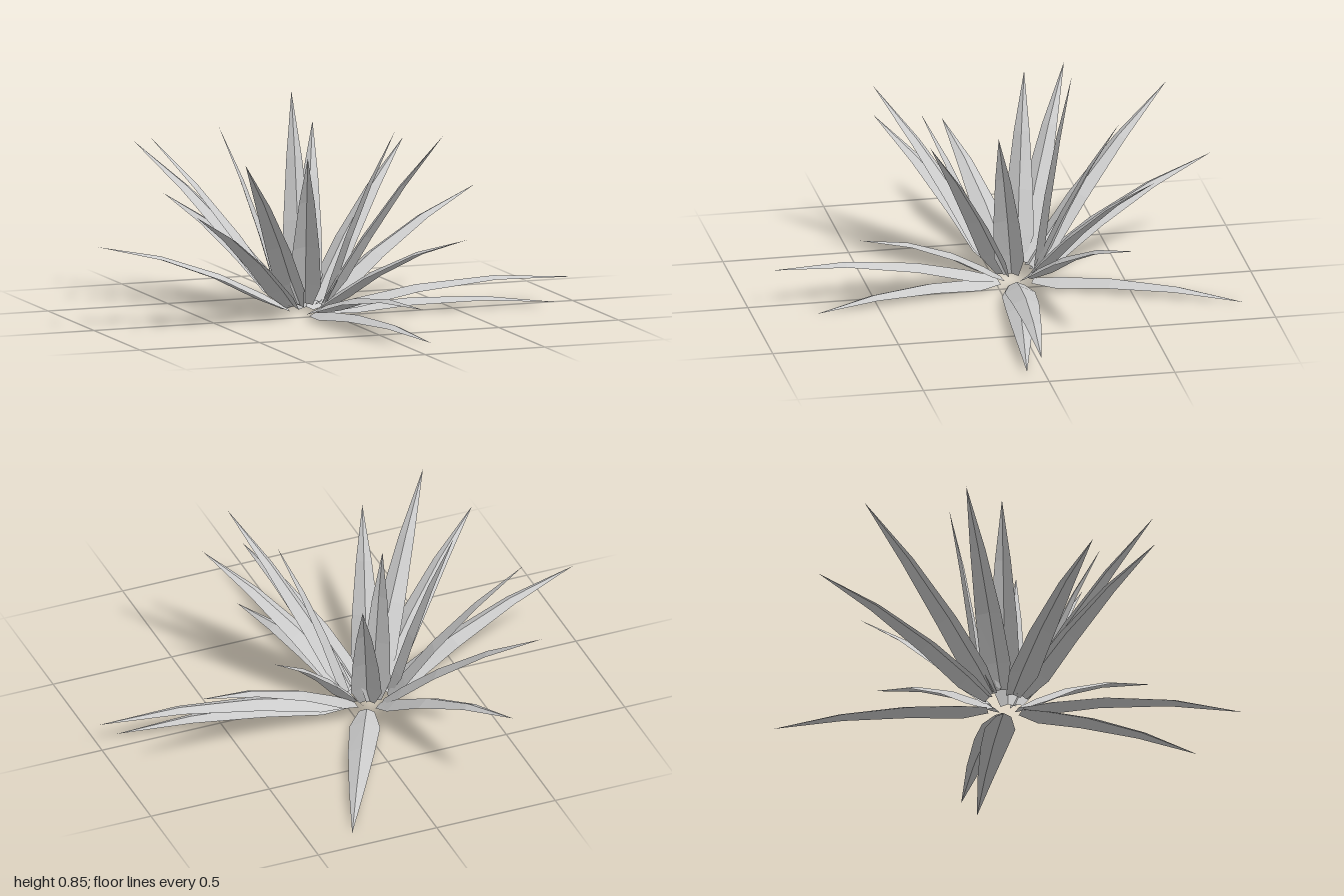
import * as THREE from 'three';

// Rosette centre and the tip of every leaf (x, y, z)
const CENTRE = new THREE.Vector3(-0.09, 0, -0.08);
const TIPS = [
  [-0.36, 0.37, -0.91], [-0.54, 0.61, -0.77], [-0.62, 0.69, -0.38], [-0.41, 0.75, -0.18],
  [-1.0, 0.34, 0.03], [-0.71, 0.49, 0.36], [-0.52, 0.69, 0.40], [-0.21, 0.68, 0.27],
  [0.03, 0.165, 0.91], [0.12, 0.005, 0.75], [0.32, 0.38, 0.62], [0.33, 0.75, 0.34],
  [0.24, 0.73, 0.05], [0.91, 0.015, 0.07], [1.0, 0.105, 0.03], [0.74, 0.42, -0.39],
  [0.49, 0.60, -0.52], [0.32, 0.005, -0.91], [0.09, 0.70, -0.46], [-0.06, 0.85, -0.30],
];
// Stations along a leaf: position, half width, drop of the edges below the ridge
const STATIONS = [
  [0, 0.03, 0.012], [0.13, 0.06, 0.026], [0.37, 0.052, 0.022], [0.68, 0.031, 0.013], [1, 0, 0],
];

// Ridged, tapering blade that arches from the rosette's ring to its tip
function leafGeometry(tip) {
  const out = new THREE.Vector3(tip.x - CENTRE.x, 0, tip.z - CENTRE.z).normalize();
  const elevation = Math.atan2(tip.y, Math.hypot(tip.x - CENTRE.x, tip.z - CENTRE.z));
  const base = CENTRE.clone().addScaledVector(out, 0.075);
  base.y = 0.02 + 0.045 * Math.sin(elevation);

  const along = tip.clone().sub(base).normalize();
  const side = new THREE.Vector3(0, 1, 0).cross(out).normalize();
  const up = along.clone().cross(side).normalize();
  const arch = 0.012 + 0.04 * Math.cos(elevation) ** 2 * Math.min(1, 0.6 + 4 * tip.y);

  const positions = [], index = [];
  STATIONS.forEach(([t, halfWidth, drop], i) => {
    const ridge = base.clone().lerp(tip, t).addScaledVector(up, arch * 4 * t * (1 - t));
    for (const s of [-1, 0, 1]) {
      const p = ridge.clone().addScaledVector(side, s * halfWidth).addScaledVector(up, -Math.abs(s) * drop);
      positions.push(p.x, p.y, p.z);
    }
    if (i === 0) return;
    for (const k of [0, 1]) {
      const a = (i - 1) * 3 + k, b = a + 1, c = a + 3, d = a + 4;
      index.push(a, b, c);
      if (i < STATIONS.length - 1) index.push(b, d, c);
    }
  });
  const geometry = new THREE.BufferGeometry();
  geometry.setAttribute('position', new THREE.Float32BufferAttribute(positions, 3));
  geometry.setIndex(index);
  geometry.computeVertexNormals();
  return geometry;
}

export function createModel() {
  const plant = new THREE.Group();
  plant.name = 'spikyPlant';
  const material = new THREE.MeshStandardMaterial({
    color: 0xcccccc, flatShading: true, side: THREE.DoubleSide,
  });
  TIPS.forEach((tip, i) => {
    const leaf = new THREE.Mesh(leafGeometry(new THREE.Vector3(...tip)), material);
    leaf.name = `leaf${i + 1}`;
    plant.add(leaf);
  });
  return plant;
}
